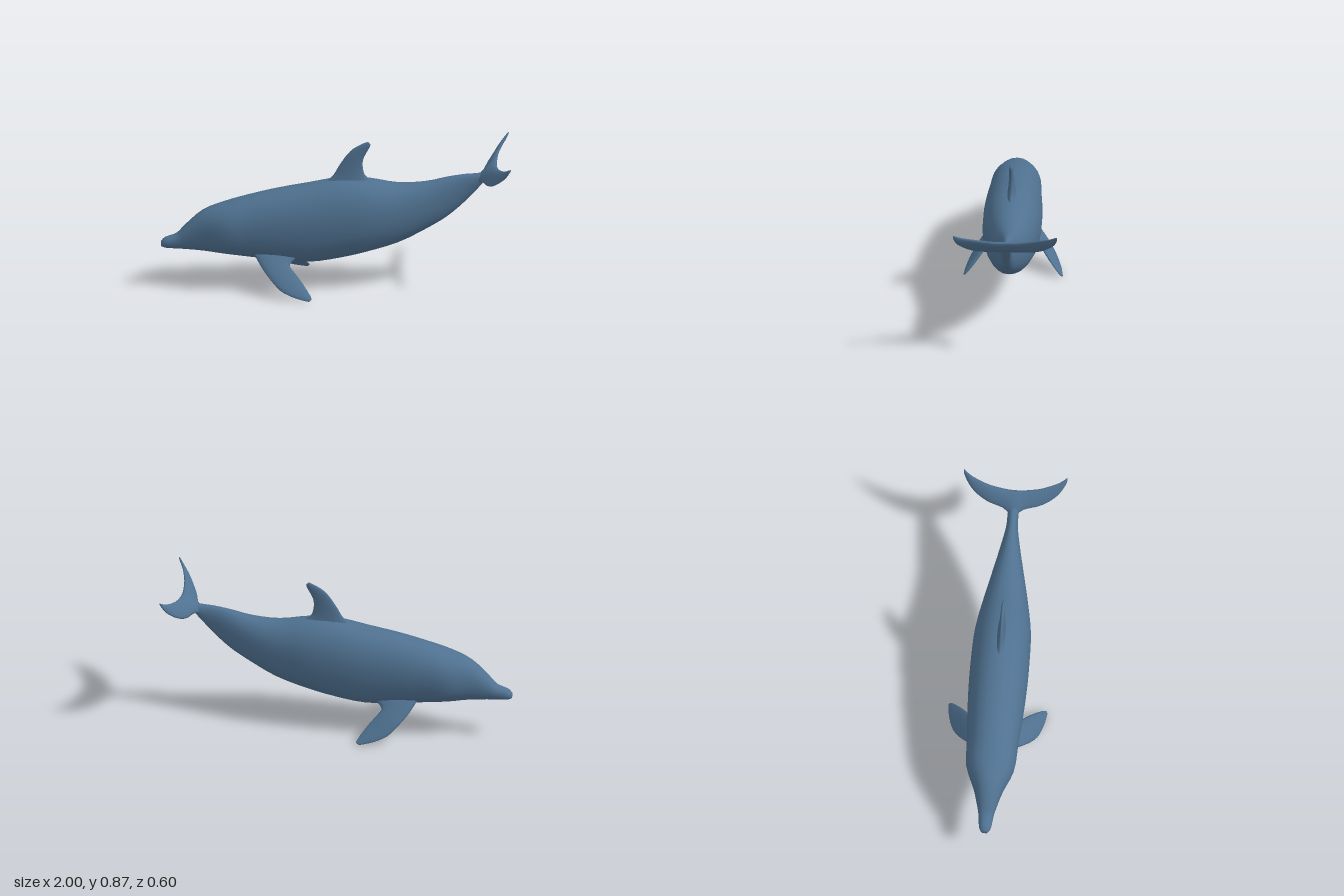
import * as THREE from 'three';

const SIDES = 24;

// Skin a closed surface over rings of points, with fans at both ends
function skin(rings) {
  const n = rings[0].length, pos = [], idx = [];
  rings.forEach(r => r.forEach(p => pos.push(p.x, p.y, p.z)));
  for (let i = 0; i < rings.length - 1; i++) {
    for (let j = 0; j < n; j++) {
      const k = (j + 1) % n, a = i * n + j, b = i * n + k, c = a + n, d = b + n;
      idx.push(a, b, d, a, d, c);
    }
  }
  [0, rings.length - 1].forEach((r, end) => {
    const c = new THREE.Vector3();
    rings[r].forEach(p => c.addScaledVector(p, 1 / n));
    const ci = pos.length / 3;
    pos.push(c.x, c.y, c.z);
    for (let j = 0; j < n; j++) {
      const a = r * n + j, b = r * n + (j + 1) % n;
      if (end) idx.push(ci, a, b); else idx.push(ci, b, a);
    }
  });
  // Turn the faces outward if the enclosed volume is negative
  let volume = 0;
  const v = i => new THREE.Vector3().fromArray(pos, i * 3);
  for (let i = 0; i < idx.length; i += 3) volume += v(idx[i]).dot(v(idx[i + 1]).cross(v(idx[i + 2])));
  if (volume < 0) idx.reverse();
  const g = new THREE.BufferGeometry();
  g.setAttribute('position', new THREE.Float32BufferAttribute(pos, 3));
  g.setIndex(idx);
  g.computeVertexNormals();
  return g;
}

// Smoothly resample rows of numbers
function resample(rows, steps) {
  const out = [];
  for (let i = 0; i < rows.length - 1; i++) {
    for (let s = 0; s < steps; s++) {
      const t = s / steps, p = k => rows[Math.min(Math.max(i + k, 0), rows.length - 1)];
      out.push(rows[i].map((b, c) => {
        const a = p(-1)[c], e = p(1)[c], d = p(2)[c];
        return b + 0.5 * t * (e - a + t * (2 * a - 5 * b + 4 * e - d + t * (3 * (b - e) + d - a)));
      }));
    }
  }
  out.push(rows[rows.length - 1]);
  return out;
}

// Fin: rows are leading edge xyz, trailing edge xyz, half thickness
function fin(rows, normal) {
  return skin(resample(rows, 3).map(([lx, ly, lz, tx, ty, tz, h]) => {
    const lead = new THREE.Vector3(lx, ly, lz), trail = new THREE.Vector3(tx, ty, tz);
    return Array.from({ length: 16 }, (_, j) => {
      const a = j / 16 * Math.PI * 2;
      return lead.clone().lerp(trail, (1 - Math.cos(a)) / 2).addScaledVector(normal, Math.sin(a) * h);
    });
  }));
}

export function createModel() {
  const group = new THREE.Group();
  const blue = new THREE.MeshStandardMaterial({ color: 0x4f7190 });
  blue.name = 'slate blue skin';
  const add = (name, geometry) => {
    const m = new THREE.Mesh(geometry, blue);
    m.name = name;
    group.add(m);
  };

  // Body stations: x, top, bottom, half width
  const body = [
    [-1.0, 0.275, 0.245, 0.018], [-0.975, 0.298, 0.236, 0.034], [-0.91, 0.323, 0.231, 0.043],
    [-0.86, 0.375, 0.228, 0.055], [-0.76, 0.462, 0.22, 0.088], [-0.64, 0.507, 0.205, 0.138],
    [-0.5, 0.548, 0.186, 0.148], [-0.33, 0.588, 0.165, 0.16], [-0.15, 0.62, 0.152, 0.168],
    [0.02, 0.65, 0.175, 0.168], [0.18, 0.647, 0.212, 0.16], [0.36, 0.618, 0.266, 0.126],
    [0.52, 0.628, 0.345, 0.087], [0.64, 0.656, 0.418, 0.057], [0.74, 0.673, 0.505, 0.035],
    [0.82, 0.678, 0.592, 0.031], [0.86, 0.69, 0.642, 0.028], [0.9, 0.715, 0.694, 0.02],
  ];
  const squash = s => Math.sign(s) * Math.abs(s) ** 0.92;
  add('body', skin(resample(body, 3).map(([x, top, bottom, w]) =>
    Array.from({ length: SIDES }, (_, j) => {
      const a = j / SIDES * Math.PI * 2;
      return new THREE.Vector3(x, (top + bottom) / 2 + squash(Math.sin(a)) * (top - bottom) / 2, squash(Math.cos(a)) * w);
    }))));

  // Dorsal fin
  add('dorsalFin', fin([
    [-0.1, 0.60, 0, 0.28, 0.60, 0, 0.034], [-0.02, 0.664, 0, 0.18, 0.66, 0, 0.022],
    [0.02, 0.73, 0, 0.158, 0.71, 0, 0.016], [0.06, 0.79, 0, 0.158, 0.765, 0, 0.013],
    [0.1, 0.833, 0, 0.178, 0.81, 0, 0.011], [0.15, 0.862, 0, 0.196, 0.843, 0, 0.009],
    [0.184, 0.876, 0, 0.2, 0.86, 0, 0.005],
  ], new THREE.Vector3(0, 0, 1)));

  // Tail flukes, mirrored from one half
  const half = [
    [0.805, 0.625, 0, 0.923, 0.736, 0, 0.022], [0.842, 0.645, 0.06, 0.926, 0.738, 0.06, 0.019],
    [0.865, 0.655, 0.14, 0.936, 0.752, 0.14, 0.016], [0.892, 0.675, 0.2, 0.952, 0.768, 0.2, 0.013],
    [0.925, 0.71, 0.25, 0.97, 0.784, 0.25, 0.011], [0.962, 0.75, 0.283, 0.988, 0.803, 0.283, 0.008],
    [0.985, 0.79, 0.298, 0.999, 0.812, 0.298, 0.005],
  ];
  const other = half.slice(1).reverse().map(([a, b, c, d, e, f, h]) => [a, b, -c, d, e, -f, h]);
  add('tailFlukes', fin([...other, ...half], new THREE.Vector3(-0.74, 0.67, 0)));

  // Pectoral flippers, one on each side
  for (const [name, s] of [['frontSideFlipper', 1], ['backSideFlipper', -1]]) {
    add(name, fin([
      [-0.47, 0.23, 0.09, -0.21, 0.21, 0.09, 0.026], [-0.43, 0.168, 0.145, -0.265, 0.175, 0.135, 0.022],
      [-0.38, 0.112, 0.2, -0.235, 0.135, 0.168, 0.018], [-0.32, 0.056, 0.243, -0.2, 0.096, 0.2, 0.015],
      [-0.25, 0.026, 0.268, -0.168, 0.056, 0.235, 0.011], [-0.19, 0.01, 0.28, -0.147, 0.027, 0.262, 0.007],
      [-0.16, 0.004, 0.284, -0.142, 0.014, 0.277, 0.004],
    ].map(([a, b, c, d, e, f, h]) => [a, b, c * s, d, e, f * s, h]),
    new THREE.Vector3(0.1, 0.62, 0.78 * s)));
  }
  return group;
}
